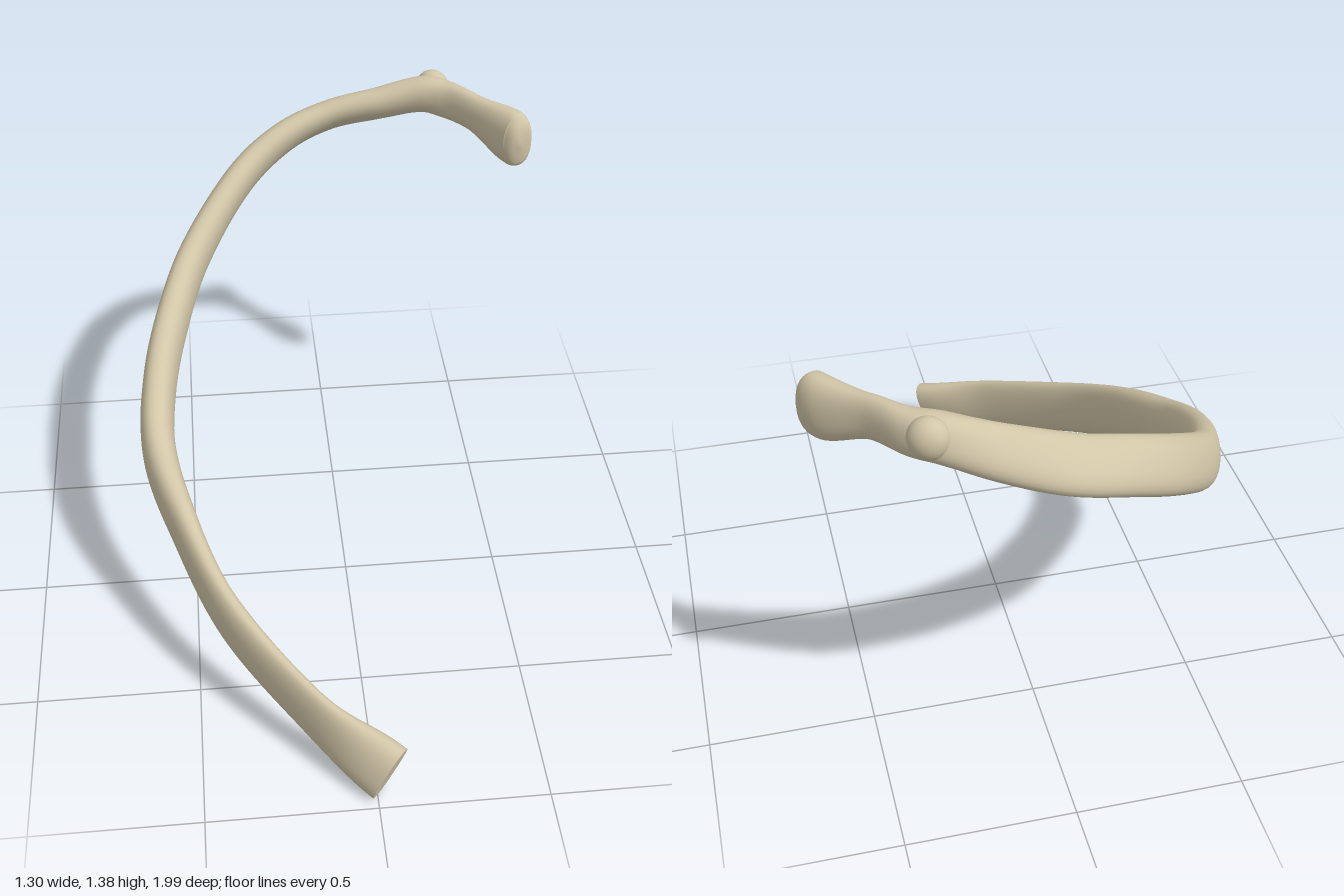
import * as THREE from 'three';

// Centre line from the cut front end, round the side and back, to the head
const path = [
  [0.035, 0.095, 0.955], [-0.17, 0.18, 0.78], [-0.4, 0.32, 0.5], [-0.527, 0.465, 0.22],
  [-0.585, 0.56, 0], [-0.575, 0.665, -0.2], [-0.525, 0.775, -0.4], [-0.44, 0.895, -0.6],
  [-0.285, 1.05, -0.79], [-0.13, 1.15, -0.89], [0.03, 1.21, -0.93], [0.2, 1.258, -0.905],
  [0.34, 1.302, -0.87], [0.415, 1.303, -0.825], [0.49, 1.298, -0.74],
  [0.597, 1.266, -0.622], [0.618, 1.262, -0.565],
];
const LAST = path.length - 1;
const centreLine = new THREE.CatmullRomCurve3(
  path.map((p) => new THREE.Vector3(...p)), false, 'catmullrom', 0.5);

// Place along the path (counted in path points), height, thickness
const sizeKeys = [
  [0, 0.2, 0.095], [1, 0.195, 0.058], [2, 0.19, 0.07], [4, 0.178, 0.105], [7, 0.165, 0.1],
  [10, 0.16, 0.092], [12, 0.13, 0.1], [14, 0.128, 0.064], [15, 0.187, 0.1], [16, 0.18, 0.1],
];

const RINGS = 216, SIDES = 28;

const bell = (s, centre, width) => Math.exp(-(((s - centre) / width) ** 2));
const soften = (v) => Math.sign(v) * Math.abs(v) ** 0.88;

function sizeAt(s) {
  const i = Math.max(1, sizeKeys.findIndex((k) => k[0] >= s));
  const [s0, h0, w0] = sizeKeys[i - 1], [s1, h1, w1] = sizeKeys[i];
  const f = THREE.MathUtils.smoothstep(s, s0, s1);
  return [THREE.MathUtils.lerp(h0, h1, f), THREE.MathUtils.lerp(w0, w1, f)];
}

// One rounded cross-section at place s
function ring(s) {
  const centre = centreLine.getPoint(s / LAST), along = centreLine.getTangent(s / LAST);
  const [height, thickness] = sizeAt(s);
  // the section twists at the front end and leans inward at the back
  const up = new THREE.Vector3(
    0.1 * bell(s, 0, 0.6) + 0.3 * bell(s, 8, 1.2), 1,
    -0.3 * bell(s, 0, 0.6) + 1.1 * bell(s, 10.1, 1.8));
  up.addScaledVector(along, -up.dot(along)).normalize();
  const inward = along.clone().cross(up);
  // the head closes in a blunt dome
  const k = Math.max(0, (s - LAST + 0.9) / 0.9);
  const dome = Math.sqrt(Math.max(0.02, 1 - k ** 3));
  // a shallow groove runs along the lower inner side at the back
  const groove = 0.2 * bell(s, 9.7, 2);
  return Array.from({ length: SIDES }, (_, j) => {
    const a = (j / SIDES) * Math.PI * 2 - Math.PI;
    const r = dome * (1 - groove * bell(a, -0.75, 0.4)) / 2;
    return centre.clone()
      .addScaledVector(inward, soften(Math.cos(a)) * r * thickness)
      .addScaledVector(up, soften(Math.sin(a)) * r * height);
  });
}

function geometryOf(points, index) {
  const g = new THREE.BufferGeometry().setFromPoints(points);
  g.setIndex(index);
  g.computeVertexNormals();
  return g;
}

function shaftGeometry() {
  const points = [], index = [];
  for (let i = 0; i <= RINGS; i++) points.push(...ring((i / RINGS) * LAST));
  for (let i = 0; i < RINGS; i++) {
    for (let j = 0; j < SIDES; j++) {
      const a = i * SIDES + j, b = i * SIDES + (j + 1) % SIDES;
      index.push(a, a + SIDES, b, b, a + SIDES, b + SIDES);
    }
  }
  // close the head
  const end = RINGS * SIDES, tip = points.length;
  points.push(centreLine.getPoint(1));
  for (let j = 0; j < SIDES; j++) index.push(end + j, tip, end + (j + 1) % SIDES);
  return geometryOf(points, index);
}

// Flat cut face at the front end
function cutFaceGeometry() {
  const points = [...ring(0), centreLine.getPoint(0)], index = [];
  for (let j = 0; j < SIDES; j++) index.push(SIDES, j, (j + 1) % SIDES);
  return geometryOf(points, index);
}

export function createModel() {
  const group = new THREE.Group();
  group.name = 'rib';
  const bone = new THREE.MeshStandardMaterial({ color: 0xd2c6a8 });
  bone.name = 'bone';
  const add = (name, geometry) => {
    const mesh = new THREE.Mesh(geometry, bone);
    mesh.name = name;
    group.add(mesh);
    return mesh;
  };

  add('shaftNeckAndHead', shaftGeometry());
  add('frontCutFace', cutFaceGeometry());

  // Small knob where the shaft meets the neck
  const tubercle = add('tubercle', new THREE.SphereGeometry(1, 28, 18));
  tubercle.scale.set(0.055, 0.058, 0.045);
  tubercle.position.set(0.377, 1.32, -0.888);
  tubercle.rotation.y = -0.4;

  return group;
}
